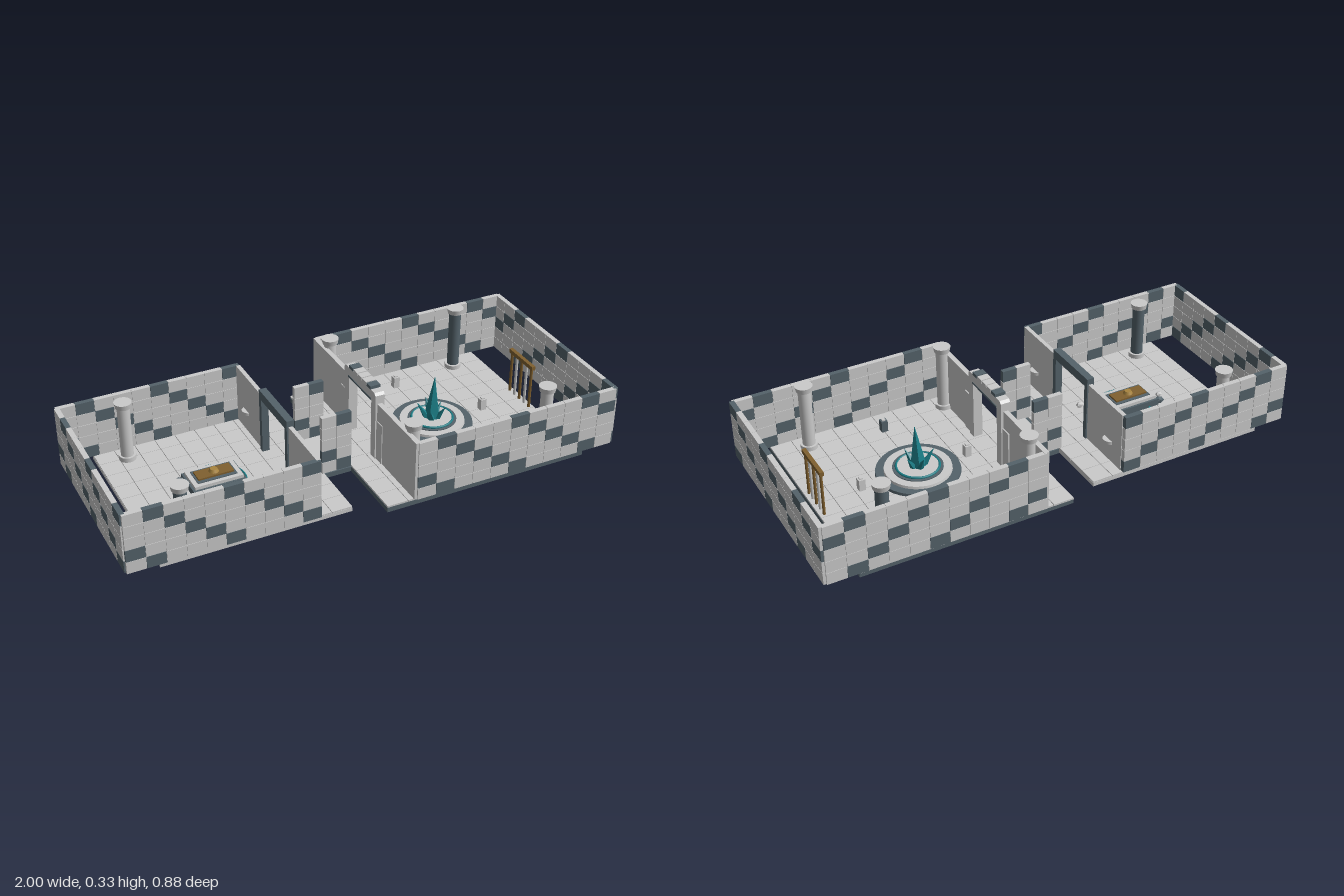
import * as THREE from 'three';
import { mergeGeometries } from 'three/addons/utils/BufferGeometryUtils.js';

function material(name, color) {
  const m = new THREE.MeshStandardMaterial({ color });
  m.name = name;
  return m;
}

export function createModel() {
  const light = material('pale stone', 0xcacaca);
  const dark = material('slate', 0x54626a);
  const teal = material('teal crystal', 0x1c7f88);
  const brown = material('bronze', 0x80602f);
  const gold = material('gold', 0xa8843f);

  const model = new THREE.Group();
  model.name = 'dungeonRooms';

  const add = (name, geometry, mat, parent = model) => {
    const mesh = new THREE.Mesh(geometry, mat);
    mesh.name = name;
    parent.add(mesh);
    return mesh;
  };
  // Box given by its limits on each axis
  const boxGeo = (x0, x1, y0, y1, z0, z1) =>
    new THREE.BoxGeometry(x1 - x0, y1 - y0, z1 - z0).translate((x0 + x1) / 2, (y0 + y1) / 2, (z0 + z1) / 2);
  const box = (name, mat, ...limits) => add(name, boxGeo(...limits), mat);
  const cyl = (name, mat, r0, r1, y0, y1, x, z, sides = 20) =>
    add(name, new THREE.CylinderGeometry(r1, r0, y1 - y0, sides).translate(x, (y0 + y1) / 2, z), mat);

  // Brick wall: five courses with a diagonal run of slate bricks
  function brickWall(name, x0, z0, x1, z1, cols, phase) {
    const group = new THREE.Group();
    group.name = name;
    const alongX = z0 === z1;
    const length = alongX ? x1 - x0 : z1 - z0;
    const step = length / cols, gap = 0.0015, h = 0.05;
    const parts = { pale: [], slate: [] };
    for (let row = 0; row < 5; row++) {
      for (let col = 0; col < cols; col++) {
        const g = new THREE.BoxGeometry(alongX ? Math.abs(step) - gap : 0.02, h - gap, alongX ? 0.02 : Math.abs(step) - gap);
        const d = (col + 0.5) * step;
        g.translate(alongX ? x0 + d : x0, 0.25 - row * h, alongX ? z0 : z0 + d);
        parts[(col - row + 8 - phase) % 4 === 0 ? 'slate' : 'pale'].push(g);
      }
    }
    const len = Math.abs(length) - 0.004;
    parts.pale.push(new THREE.BoxGeometry(alongX ? len : 0.014, 0.246, alongX ? 0.014 : len)
      .translate((x0 + x1) / 2, 0.15, (z0 + z1) / 2));
    add(name + 'PaleBricks', mergeGeometries(parts.pale), light, group);
    add(name + 'SlateBricks', mergeGeometries(parts.slate), dark, group);
    model.add(group);
  }

  // Grid of floor tiles with narrow joints
  function tiles(name, x0, x1, z0, z1, y0, y1, nx, nz) {
    const list = [], dx = (x1 - x0) / nx, dz = (z1 - z0) / nz, g = 0.001;
    for (let i = 0; i < nx; i++)
      for (let j = 0; j < nz; j++)
        list.push(boxGeo(x0 + i * dx + g, x0 + (i + 1) * dx - g, y0, y1, z0 + j * dz + g, z0 + (j + 1) * dz - g));
    add(name, mergeGeometries(list), light);
  }

  // Column with a base, shaft and two-step cap
  function pillar(name, x, z, top, shaftMat) {
    cyl(name + 'Base', light, 0.034, 0.034, 0.024, 0.045, x, z);
    cyl(name + 'Shaft', shaftMat, 0.025, 0.025, 0.045, top - 0.02, x, z);
    cyl(name + 'Cap', light, 0.031, 0.035, top - 0.022, top, x, z);
  }

  // Floors
  box('largeRoomSlab', dark, 0, 0.865, 0, 0.02, -0.43, 0.43);
  tiles('largeRoomTiles', 0, 0.865, -0.435, 0.43, 0.02, 0.027, 10, 10);
  box('smallRoomSlab', light, -0.87, -0.115, 0.005, 0.02, -0.385, 0.37);
  tiles('smallRoomTiles', -0.87, -0.115, -0.385, 0.37, 0.02, 0.026, 9, 9);
  box('corridorSlab', dark, -0.13, 0, 0, 0.02, -0.13, 0.13);
  box('corridorFloor', light, -0.1, 0, 0.02, 0.028, -0.12, 0.12);

  // Outer walls
  brickWall('largeRoomFrontWall', 0.12, 0.43, 0.99, 0.43, 11, 1);
  brickWall('largeRoomBackWall', 0.12, -0.43, 0.99, -0.43, 11, 1);
  brickWall('largeRoomEndWall', 0.99, 0.435, 0.99, -0.435, 11, 0);
  brickWall('smallRoomFrontWall', -0.995, 0.37, -0.245, 0.37, 10, 1);
  brickWall('smallRoomBackWall', -0.995, -0.38, -0.245, -0.38, 10, 1);
  brickWall('smallRoomEndWall', -0.99, -0.38, -0.99, 0.37, 10, 1);
  for (const s of [-1, 1]) brickWall('corridorWall', -0.125, s * 0.122, 0, s * 0.122, 2, 1);

  // Inner walls, left and right of the two doorways
  for (const s of [-1, 1]) {
    const zRange = (a, b) => (s > 0 ? [a, b] : [-b, -a]);
    box('largeRoomDoorWall', light, 0.11, 0.13, 0.027, 0.275, ...zRange(0.12, 0.435));
    box('smallRoomDoorWall', light, -0.26, -0.243, 0.026, 0.275, ...zRange(0.12, 0.37));
    box('archPost', light, 0.102, 0.14, 0.027, 0.285, ...zRange(0.095, 0.13));
    box('archButtress', light, 0.107, 0.135, 0.027, 0.2, ...zRange(0.13, 0.175));
    box('doorPost', dark, -0.267, -0.237, 0.026, 0.265, ...zRange(0.108, 0.128));
    cyl('wallBoss', light, 0.028, 0.028, 0.105, 0.118, -0.25, s * 0.28);
  }
  box('doorLintel', dark, -0.267, -0.237, 0.262, 0.3, -0.128, 0.128);

  // Arch lintel with chamfered ends and capping stones
  const lintel = new THREE.Shape([[-0.13, 0.275], [0.13, 0.275], [0.13, 0.31], [0.12, 0.32], [-0.12, 0.32], [-0.13, 0.31]]
    .map(([a, b]) => new THREE.Vector2(a, b)));
  const lintelGeo = new THREE.ExtrudeGeometry(lintel, { depth: 0.04, bevelEnabled: false });
  add('archLintel', lintelGeo.rotateY(Math.PI / 2).translate(0.101, 0, 0), light);
  box('archLintelBand', dark, 0.099, 0.143, 0.277, 0.285, -0.095, 0.095);
  for (let i = -2; i <= 2; i++)
    box('archCapstone', Math.abs(i) === 2 ? dark : light, 0.1, 0.143, 0.32, 0.333, i * 0.037 - 0.016, i * 0.037 + 0.016);

  // Pillars
  pillar('innerFrontPillar', 0.145, 0.35, 0.31, light);
  pillar('innerBackPillar', 0.145, -0.35, 0.31, light);
  pillar('outerFrontPillar', 0.73, 0.35, 0.31, light);
  pillar('outerBackPillar', 0.73, -0.35, 0.31, dark);
  pillar('smallFrontPillar', -0.755, 0.3, 0.282, dark);
  pillar('smallBackPillar', -0.755, -0.3, 0.282, light);

  // Crystal dais: stepped discs and a glowing ring
  const cx = 0.43;
  cyl('daisStep', dark, 0.165, 0.163, 0.027, 0.038, cx, 0, 36);
  cyl('daisTop', light, 0.132, 0.13, 0.038, 0.048, cx, 0, 36);
  cyl('daisInset', dark, 0.098, 0.098, 0.048, 0.051, cx, 0, 36);
  cyl('daisCore', light, 0.082, 0.08, 0.048, 0.056, cx, 0, 36);
  add('daisRing', new THREE.TorusGeometry(0.083, 0.005, 6, 36).rotateX(Math.PI / 2).translate(cx, 0.054, 0), teal);

  // Crystal cluster: a tall spike with leaning shards around it
  const shard = (x, z, r, h, tilt, turn) => {
    const m = add('crystalShard', new THREE.ConeGeometry(r, h, 5).toNonIndexed().translate(0, h / 2, 0), teal);
    m.geometry.computeVertexNormals();
    m.position.set(cx + x, 0.054, z);
    m.rotation.set(0, turn, tilt, 'YXZ');
  };
  shard(0, 0, 0.034, 0.185, -0.05, 0.4);
  for (let i = 0; i < 5; i++) {
    const a = i * Math.PI * 0.4 + 0.3;
    shard(0.02 * Math.cos(a), -0.02 * Math.sin(a), 0.016, 0.06 + 0.012 * (i % 3), -0.55, a);
  }

  // Four marker posts around the dais
  [[0, -0.31, light], [0, 0.31, dark], [-0.21, 0, light], [0.235, 0, light]].forEach(([x, z, m]) => {
    box('markerPost', m, cx + x - 0.013, cx + x + 0.013, 0.027, 0.075, z - 0.013, z + 0.013);
    box('markerTop', light, cx + x - 0.007, cx + x + 0.007, 0.075, 0.08, z - 0.007, z + 0.007);
  });

  // Barred gate with a bronze rail
  box('gateRail', brown, 0.837, 0.853, 0.205, 0.222, -0.085, 0.085);
  for (let i = -2; i <= 2; i++) cyl('gateBar', i % 2 ? light : brown, 0.006, 0.006, 0.027, 0.207, 0.845, i * 0.036, 8);

  // Altar with bronze inlay and gold stud
  const ax = -0.515;
  box('altarBase', dark, ax - 0.107, ax + 0.107, 0.026, 0.055, -0.068, 0.068);
  box('altarTop', light, ax - 0.098, ax + 0.098, 0.055, 0.068, -0.059, 0.059);
  box('altarPanel', dark, ax - 0.08, ax + 0.08, 0.068, 0.071, -0.042, 0.042);
  box('altarInlay', brown, ax - 0.072, ax + 0.072, 0.071, 0.078, -0.028, 0.028);
  cyl('altarStud', gold, 0.02, 0.014, 0.078, 0.09, ax, 0, 12);
  add('altarRing', new THREE.TorusGeometry(0.106, 0.004, 6, 40).rotateX(Math.PI / 2).translate(-0.497, 0.03, 0), teal);

  // Loose rubble
  [[-0.635, -0.052, 0.022, dark], [-0.658, -0.015, 0.015, light], [-0.335, 0.075, 0.018, light]].forEach(([x, z, r, m]) => {
    add('rubble', new THREE.IcosahedronGeometry(r, 0).scale(1, 0.7, 0.75).translate(x, 0.036, z), m);
  });

  return model;
}
